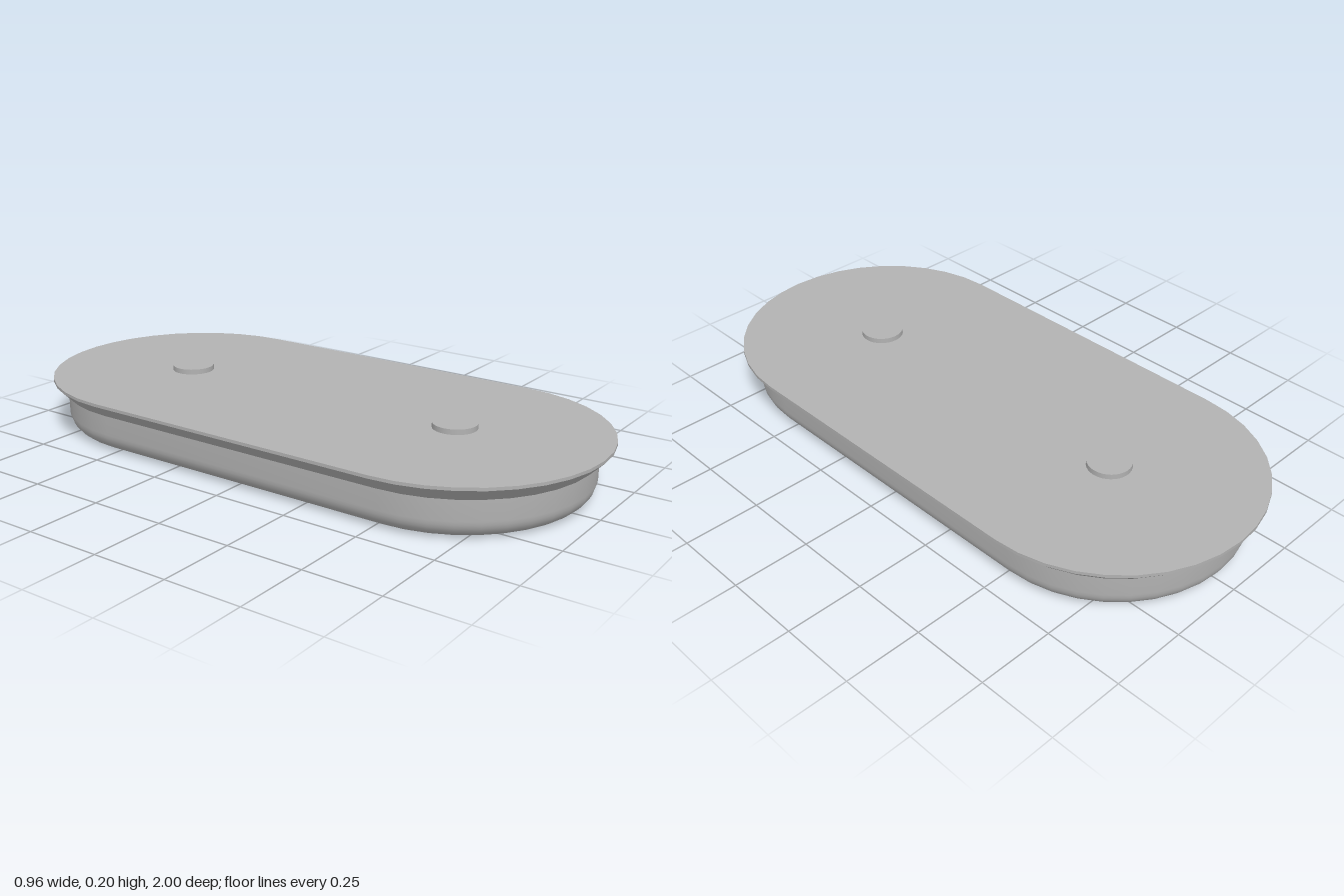
import * as THREE from 'three';
import { toCreasedNormals } from 'three/addons/utils/BufferGeometryUtils.js';

const HALF_STRAIGHT = 0.52; // end-cap centres at z = +/- this
const ARC = 18;             // segments per rounded end
const GROOVE = 0.012;       // depth of the engraved marks

// Stadium outline of radius r, as [x, z] points
function ring(r) {
  const pts = [];
  for (const end of [0, 1]) {
    for (let i = 0; i <= ARC; i++) {
      const a = Math.PI * (end + i / ARC);
      pts.push(new THREE.Vector2(r * Math.cos(a), r * Math.sin(a) + (end ? -1 : 1) * HALF_STRAIGHT));
    }
  }
  return pts;
}

// Sweep a [radius, height] profile (listed bottom to top) around the stadium
function loft(profile, crease) {
  const n = 2 * (ARC + 1);
  const pos = [];
  const index = [];
  for (const [r, y] of profile) for (const p of ring(r)) pos.push(p.x, y, p.y);
  for (let j = 0; j < profile.length - 1; j++) {
    for (let i = 0; i < n; i++) {
      const a = j * n + i, b = j * n + (i + 1) % n;
      index.push(a, a + n, b, b, a + n, b + n);
    }
  }
  const g = new THREE.BufferGeometry();
  g.setAttribute('position', new THREE.Float32BufferAttribute(pos, 3));
  g.setIndex(index);
  return toCreasedNormals(g, crease);
}

// Round-ended mark with 2 (minus) or 4 (plus) arms, centred at z
function mark(path, arms, z) {
  const w = 0.013, reach = 0.1;
  for (let k = 0; k < arms; k++) {
    const a = k * 2 * Math.PI / arms;
    path.absarc(reach * Math.cos(a), z + reach * Math.sin(a), w, a - Math.PI / 2, a + Math.PI / 2, false);
    if (arms === 4) {
      const c = a + Math.PI / 4;
      path.lineTo(w * Math.SQRT2 * Math.cos(c), z + w * Math.SQRT2 * Math.sin(c));
    }
  }
  path.closePath();
  return path;
}

export function createModel() {
  const group = new THREE.Group();
  const grey = new THREE.MeshStandardMaterial({ color: 0xb2b2b2 });
  grey.name = 'plain grey';
  const add = (name, geometry) => {
    const mesh = new THREE.Mesh(geometry, grey);
    mesh.name = name;
    group.add(mesh);
    return mesh;
  };

  // Button body: rounded lower edge and straight wall
  const R = 0.43, fillet = 0.06;
  const profile = [];
  for (let i = 0; i <= 8; i++) {
    const a = i / 8 * Math.PI / 2;
    profile.push([R - fillet + fillet * Math.sin(a), fillet - fillet * Math.cos(a)]);
  }
  profile.push([R, 0.127]);
  add('buttonBody', loft(profile, 0.6));

  // Flange: bevelled skirt, thin rim
  add('flange', loft([[R, 0.127], [0.435, 0.127], [0.478, 0.17], [0.478, 0.18]], 0.5));
  const top = new THREE.ShapeGeometry(new THREE.Shape(ring(0.478)));
  add('flangeTop', top.rotateX(-Math.PI / 2).translate(0, 0.18, 0));

  // Engraved face underneath
  const marks = [['plusGrooveFloor', 4, HALF_STRAIGHT], ['minusGrooveFloor', 2, -HALF_STRAIGHT]];
  const face = new THREE.Shape(ring(R - fillet));
  for (const [, arms, z] of marks) face.holes.push(mark(new THREE.Path(), arms, z));
  const plate = new THREE.ExtrudeGeometry(face, { depth: GROOVE, bevelEnabled: false, curveSegments: 8 });
  add('engravedFace', plate.rotateX(Math.PI / 2).translate(0, GROOVE, 0));
  for (const [name, arms, z] of marks) {
    const floor = new THREE.ShapeGeometry(mark(new THREE.Shape(), arms, z), 8);
    add(name, floor.rotateX(Math.PI / 2).translate(0, GROOVE, 0));
  }

  // Contact nubs on top
  for (const [name, z] of [['frontNub', HALF_STRAIGHT], ['backNub', -HALF_STRAIGHT]]) {
    add(name, new THREE.CylinderGeometry(0.07, 0.07, 0.017, 32)).position.set(0, 0.1885, z);
  }
  return group;
}
